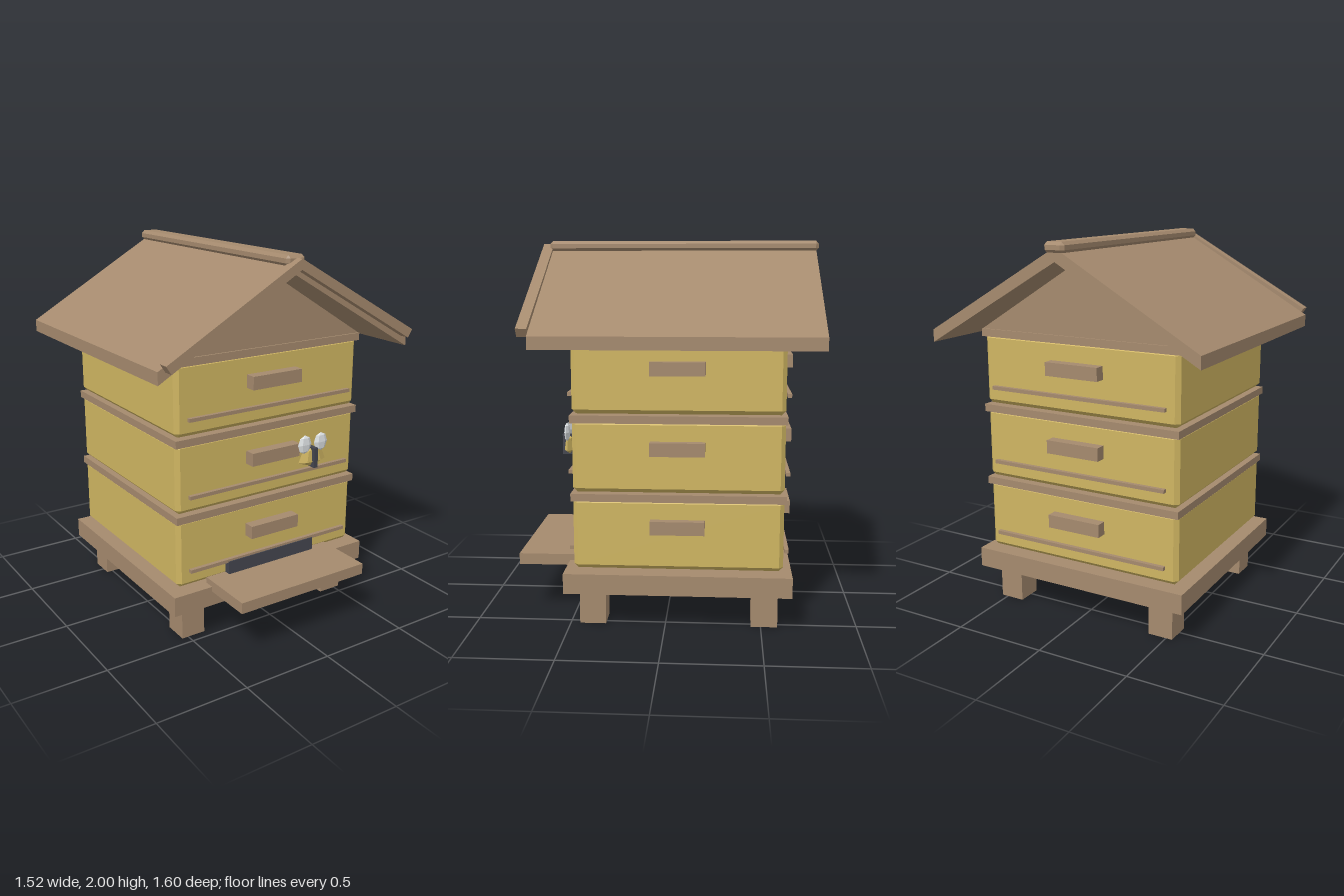
import * as THREE from 'three';
import { ConvexGeometry } from 'three/addons/geometries/ConvexGeometry.js';

export function createModel() {
  const model = new THREE.Group();
  model.name = 'beehive';

  const mat = (name, color) => {
    const m = new THREE.MeshStandardMaterial({ color });
    m.name = name;
    return m;
  };
  const wood = mat('wood', 0xa58a6e);
  const yellow = mat('honeyYellow', 0xd0b662);
  const dark = mat('darkGrey', 0x44464f);
  const white = mat('wingWhite', 0xe0e4e6);

  const add = (name, geometry, material, parent = model) => {
    const mesh = new THREE.Mesh(geometry, material);
    mesh.name = name;
    parent.add(mesh);
    return mesh;
  };
  // Box given by its extents on each axis
  const box = (name, material, [x0, x1], [y0, y1], [z0, z1], parent) => {
    const g = new THREE.BoxGeometry(x1 - x0, y1 - y0, z1 - z0);
    g.translate((x0 + x1) / 2, (y0 + y1) / 2, (z0 + z1) / 2);
    return add(name, g, material, parent);
  };
  // Box with every edge chamfered by b
  const chamferBox = (name, material, [x0, x1], [y0, y1], [z0, z1], b, parent) => {
    const w = (x1 - x0) / 2, h = (y1 - y0) / 2, d = (z1 - z0) / 2;
    const points = [];
    for (const sx of [-1, 1]) for (const sy of [-1, 1]) for (const sz of [-1, 1]) {
      points.push(
        new THREE.Vector3(sx * w, sy * (h - b), sz * (d - b)),
        new THREE.Vector3(sx * (w - b), sy * h, sz * (d - b)),
        new THREE.Vector3(sx * (w - b), sy * (h - b), sz * d));
    }
    const g = new ConvexGeometry(points);
    g.translate((x0 + x1) / 2, (y0 + y1) / 2, (z0 + z1) / 2);
    return add(name, g, material, parent);
  };
  // Outline in x and y, extruded between two z positions
  const prism = (name, material, outline, z0, z1) => {
    const shape = new THREE.Shape(outline.map(([x, y]) => new THREE.Vector2(x, y)));
    const g = new THREE.ExtrudeGeometry(shape, { depth: z1 - z0, bevelEnabled: false });
    g.translate(0, 0, z0);
    return add(name, g, material);
  };

  // Stand: floor, four legs, landing board and entrance
  box('floor', wood, [-0.62, 0.62], [0.19, 0.297], [-0.656, 0.524]);
  for (const s of [-1, 1]) {
    for (const z of [-0.518, 0.382]) {
      box('leg', wood, [s * 0.468 - 0.068, s * 0.468 + 0.068], [0, 0.19], [z - 0.069, z + 0.069]);
    }
  }
  box('landingBoard', wood, [-0.395, 0.395], [0.27, 0.33], [0.466, 0.80]);
  box('entrance', dark, [-0.278, 0.278], [0.33, 0.402], [0.472, 0.508]);

  // Three stacked hive boxes with rim, handles and rails
  for (let i = 0; i < 3; i++) {
    const y = 0.312 + i * 0.407;
    const tier = new THREE.Group();
    tier.name = 'hiveBox';
    model.add(tier);
    chamferBox('boxBody', yellow, [-0.57, 0.57], [y, y + 0.375], [-0.61, 0.474], 0.022, tier);
    box('rim', wood, [-0.577, 0.577], [y + 0.36, y + 0.4], [-0.62, 0.484], tier);
    const grip = [y + 0.199, y + 0.269];
    box('frontHandle', wood, [-0.152, 0.152], grip, [0.46, 0.534], tier);
    box('backHandle', wood, [-0.152, 0.152], grip, [-0.667, -0.6], tier);
    box('sideHandle', wood, [0.56, 0.614], grip, [-0.206, 0.074], tier);
    const rail = [y + 0.083, y + 0.102];
    box('frontRail', wood, [-0.508, 0.508], rail, [0.482, 0.503], tier);
    box('backRail', wood, [-0.508, 0.508], rail, [-0.64, -0.618], tier);
  }

  // Gable wedge under the roof
  prism('gable', wood, [[-0.577, 1.526], [0.577, 1.526], [0, 1.885]], -0.61, 0.474);

  // Pitched roof, front edge boards and ridge cap
  prism('roof', wood, [
    [-0.76, 1.465], [0, 1.905], [0.76, 1.465], [0.76, 1.53], [0, 1.972], [-0.76, 1.53],
  ], -0.787, 0.65);
  prism('frontEdgeBoards', wood, [
    [-0.72, 1.523], [0, 1.933], [0.72, 1.523], [0.747, 1.565], [0, 1.986], [-0.747, 1.565],
  ], 0.65, 0.706);
  chamferBox('ridgeCap', wood, [-0.056, 0.056], [1.945, 2.0], [-0.80, 0.664], 0.016);

  // Bee resting on the middle box
  const bee = new THREE.Group();
  bee.name = 'bee';
  bee.position.set(0.227, 0, 0.543);
  model.add(bee);
  const profile = [[0, 0.85], [0.09, 0.88], [0.062, 0.942], [0, 0.956]];
  const bodyGeometry = new THREE.LatheGeometry(
    profile.map(([x, y]) => new THREE.Vector2(x, y)), 6, Math.PI / 2).toNonIndexed();
  bodyGeometry.scale(1, 1, 0.27);
  bodyGeometry.computeVertexNormals();
  add('beeBody', bodyGeometry, yellow, bee);
  box('beeStripe', dark, [-0.012, 0.012], [0.85, 0.96], [-0.02, 0.037], bee);
  for (const s of [-1, 1]) {
    const wing = new THREE.SphereGeometry(1, 6, 4).toNonIndexed();
    wing.scale(0.045, 0.052, 0.015);
    wing.computeVertexNormals();
    add('wing', wing, white, bee).position.set(s * 0.053, 0.98, 0.004);
  }

  return model;
}
